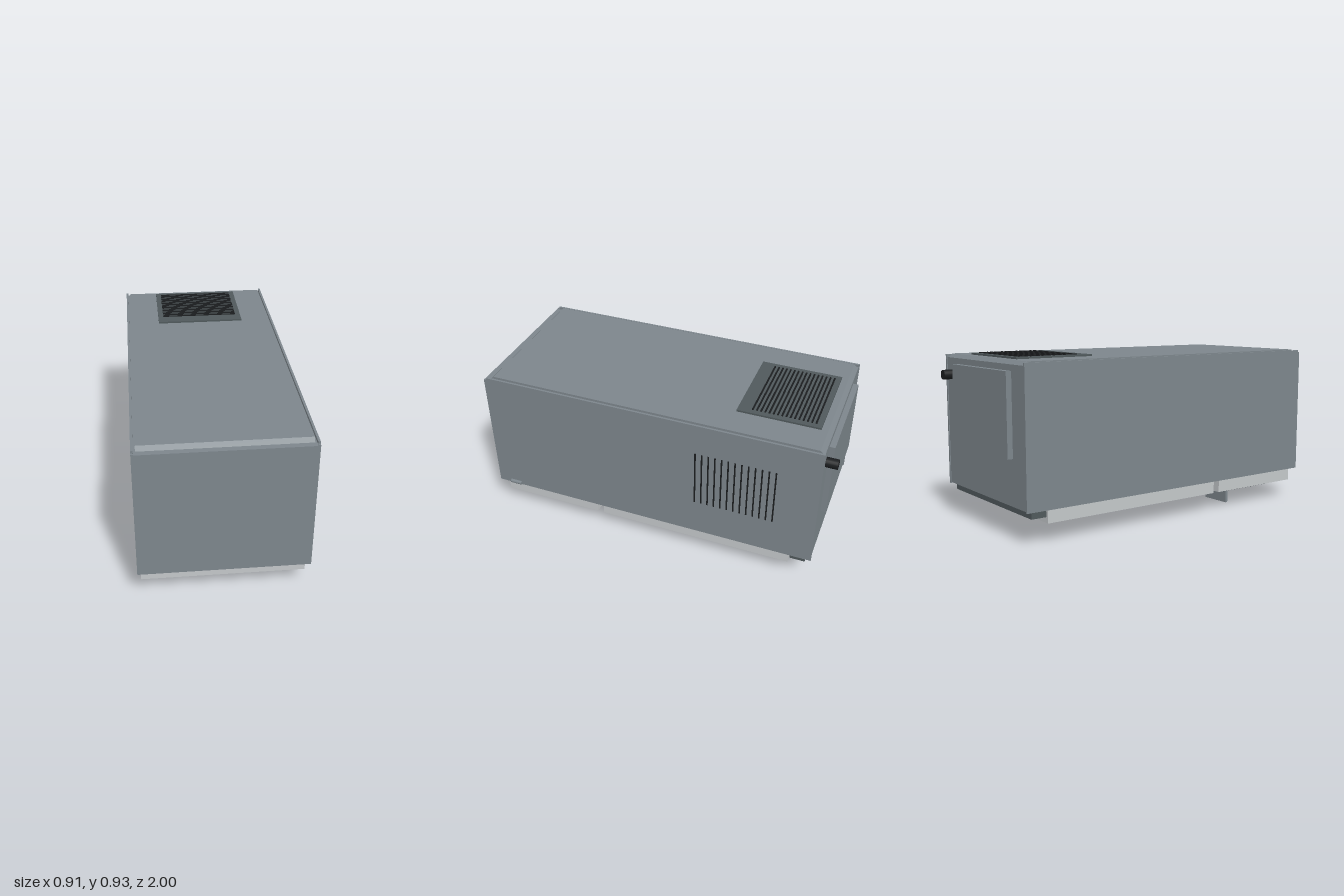
import * as THREE from 'three';
import { mergeGeometries } from 'three/addons/utils/BufferGeometryUtils.js';

const mat = (name, color) => {
  const m = new THREE.MeshStandardMaterial({ color });
  m.name = name;
  return m;
};

export function createModel() {
  const group = new THREE.Group();
  const steel = mat('grey steel', 0x7d868c);
  const doorLight = mat('light door grey', 0xc4c8ca);
  const grilleGrey = mat('dark grille grey', 0x50595c);
  const black = mat('near black', 0x1b1d1f);
  const dotGrey = mat('perforation grey', 0x4a4e51);

  const add = (name, geo, material) => {
    const mesh = new THREE.Mesh(geo, material);
    mesh.name = name;
    group.add(mesh);
    return mesh;
  };
  // Box geometry from its limits
  const boxGeo = (x0, x1, y0, y1, z0, z1) =>
    new THREE.BoxGeometry(x1 - x0, y1 - y0, z1 - z0)
      .translate((x0 + x1) / 2, (y0 + y1) / 2, (z0 + z1) / 2);
  const box = (name, material, ...limits) => add(name, boxGeo(...limits), material);

  // Cabinet: core, two side panels, end panel
  box('cabinetCore', steel, -0.443, 0.425, 0.178, 0.897, -0.935, 0.985);
  box('sidePanelRight', steel, -0.455, -0.443, 0.173, 0.912, -0.94, 0.985);
  box('sidePanelLeft', steel, 0.425, 0.437, 0.173, 0.912, -0.94, 0.985);
  box('endPanel', steel, -0.445, 0.427, 0.176, 0.897, 0.985, 1.0);
  for (const [x0, x1] of [[-0.455, -0.443], [0.425, 0.437]])
    box('endPanelEdge', steel, x0, x1, 0.173, 0.9, 0.985, 0.998);

  // Upper panel with chamfered ends
  const profile = new THREE.Shape([
    [-0.935, 0.895], [0.97, 0.895], [0.948, 0.917], [-0.91, 0.917],
  ].map(([z, y]) => new THREE.Vector2(-z, y)));
  add('upperPanel', new THREE.ExtrudeGeometry(profile, { depth: 0.848, bevelEnabled: false })
    .rotateY(Math.PI / 2).translate(-0.433, 0, 0), steel);

  // Upper grille: plate and slots
  box('grillePlate', grilleGrey, -0.262, 0.245, 0.91, 0.927, -0.875, -0.42);
  const slots = [];
  for (let i = 0; i < 16; i++) {
    const z = -0.84 + i * 0.0227;
    slots.push(boxGeo(-0.232, 0.215, 0.925, 0.931, z - 0.0045, z + 0.0045));
  }
  add('grilleSlots', mergeGeometries(slots), black);

  // Side vent slots
  const vents = [];
  for (let i = 0; i < 13; i++) {
    const z = -0.262 - i * 0.037;
    vents.push(boxGeo(0.434, 0.44, 0.39, 0.73, z - 0.004, z + 0.004));
  }
  add('sideVents', mergeGeometries(vents), black);

  // Back: access panel, connector, dark plinth
  box('backPanel', steel, -0.315, 0.3, 0.425, 0.865, -0.965, -0.93);
  add('backConnector', new THREE.CylinderGeometry(0.027, 0.027, 0.065, 20)
    .rotateX(Math.PI / 2).translate(0.35, 0.805, -0.9675), black);
  box('plinth', grilleGrey, -0.437, 0.417, 0.135, 0.18, -0.905, -0.82);

  // Small hinge on the side
  add('hinge', new THREE.CylinderGeometry(0.012, 0.012, 0.07, 14)
    .rotateX(Math.PI / 2).translate(0.439, 0.185, 0.885), steel);

  // Doors, each with a perforated face and a bar handle
  const doors = [
    { name: 'shortDoor', z0: 0.355, z1: 0.95, bar: [0.455, 0.865], mounts: [0.437, 0.88] },
    { name: 'longDoor', z0: -0.81, z1: 0.315, bar: [-0.675, 0.195], mounts: [-0.707, 0.225] },
  ];
  const pitch = 0.03;
  for (const d of doors) {
    box(d.name, doorLight, -0.437, 0.417, 0.1, 0.18, d.z0, d.z1);
    const dots = [];
    let row = 0;
    for (let z = d.z0 + 0.025; z < d.z1 - 0.015; z += pitch * 0.75, row++)
      for (let x = -0.42 + (row % 2) * pitch / 2; x < 0.405; x += pitch)
        dots.push(new THREE.CircleGeometry(0.006, 6).rotateX(Math.PI / 2).translate(x, 0.099, z));
    add(d.name + 'Perforation', mergeGeometries(dots), dotGrey);

    box(d.name + 'Handle', steel, 0.337, 0.355, 0.048, 0.083, d.bar[0], d.bar[1]);
    d.mounts.forEach((z, i) => {
      box(d.name + 'HandleMount', steel, 0.333, 0.358, 0.083, 0.1, z - 0.017, z + 0.017);
      const end = d.bar[i];
      box(d.name + 'HandleBracket', steel, 0.337, 0.355, 0.08, 0.088,
        Math.min(z, end), Math.max(z, end));
    });
  }

  // Dispenser: dark plate, frame with opening, shelf and lever
  box('dispenserPlate', black, -0.365, -0.15, 0.092, 0.1, 0.47, 0.81);
  const frame = new THREE.Shape([
    [-0.373, 0.455], [-0.142, 0.455], [-0.142, 0.825], [-0.373, 0.825],
  ].map(p => new THREE.Vector2(...p)));
  frame.holes.push(new THREE.Path([
    [-0.35, 0.48], [-0.35, 0.8], [-0.165, 0.8], [-0.165, 0.48],
  ].map(p => new THREE.Vector2(...p))));
  add('dispenserFrame', new THREE.ExtrudeGeometry(frame, { depth: 0.013, bevelEnabled: false })
    .rotateX(Math.PI / 2).translate(0, 0.092, 0), grilleGrey);
  box('dispenserShelf', steel, -0.348, -0.168, 0.0, 0.093, 0.497, 0.512);
  box('dispenserLever', steel, -0.315, -0.2, 0.056, 0.066, 0.512, 0.53);
  box('dispenserNozzle', steel, -0.272, -0.247, 0.05, 0.093, 0.745, 0.775);

  // Control panel with small buttons
  box('controlPanel', black, 0.022, 0.202, 0.09, 0.1, 0.82, 0.92);
  for (let i = 0; i < 5; i++) {
    const x = 0.05 + i * 0.031;
    for (const z of [0.85, 0.89])
      box('controlButton', grilleGrey, x - 0.008, x + 0.008, 0.086, 0.092, z - 0.006, z + 0.006);
  }
  return group;
}
